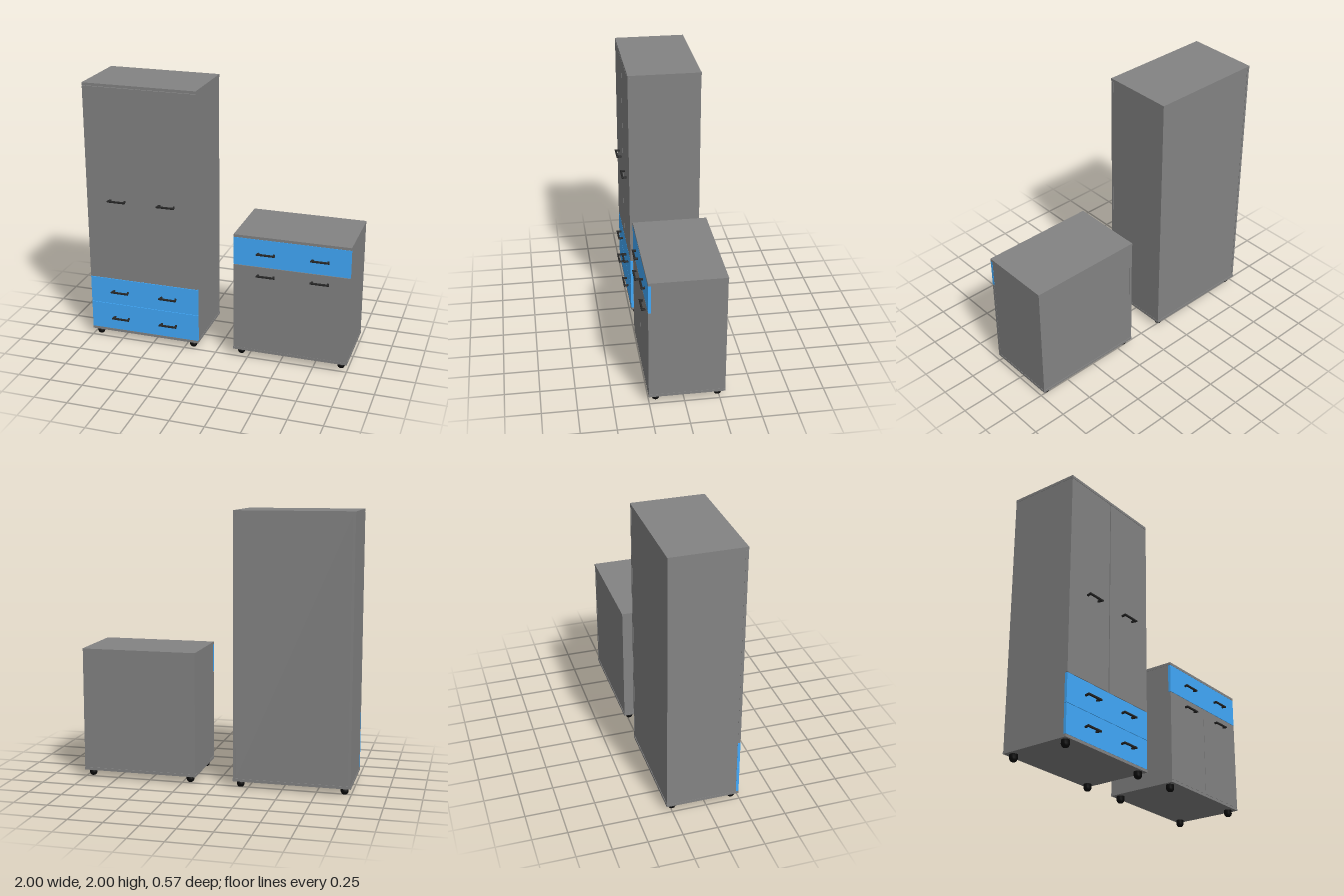
import * as THREE from 'three';

const grey = new THREE.MeshStandardMaterial({ color: 0x838383 });
const blue = new THREE.MeshStandardMaterial({ color: 0x42aafc });
const darkGrey = new THREE.MeshStandardMaterial({ color: 0x262626 });
const black = new THREE.MeshStandardMaterial({ color: 0x080808 });

const W = 0.86, T = 0.02, BACK = -0.29, HANDLE_Z = 0.242, FOOT = 0.048;

// Box given by its lower and upper bounds
function panel(parent, name, x0, x1, y0, y1, z0, z1, material = grey) {
  const mesh = new THREE.Mesh(new THREE.BoxGeometry(x1 - x0, y1 - y0, z1 - z0), material);
  mesh.position.set((x0 + x1) / 2, (y0 + y1) / 2, (z0 + z1) / 2);
  mesh.name = name;
  parent.add(mesh);
}

// Bow handle: flat outline seen from above, flared towards the grip
function handle(parent, x, y) {
  const s = new THREE.Shape([
    [-0.059, 0], [-0.067, 0.037], [0.067, 0.037], [0.059, 0],
    [0.051, 0], [0.056, 0.029], [-0.056, 0.029], [-0.051, 0],
  ].map(([a, b]) => new THREE.Vector2(a, b)));
  const geo = new THREE.ExtrudeGeometry(s, {
    depth: 0.008, bevelEnabled: true, bevelSize: 0.003, bevelThickness: 0.003, bevelSegments: 2,
  });
  geo.translate(0, 0, -0.004);
  geo.rotateX(Math.PI / 2);
  const mesh = new THREE.Mesh(geo, darkGrey);
  mesh.name = 'handle';
  mesh.position.set(x, y, HANDLE_Z);
  parent.add(mesh);
}

// Short turned feet under the four corners
function feet(parent, base) {
  const profile = [[0, 0], [0.016, 0], [0.023, 0.006], [0.029, 0.02], [0.029, FOOT], [0, FOOT]]
    .map(([r, y]) => new THREE.Vector2(r, y));
  const geo = new THREE.LatheGeometry(profile, 16);
  for (const x of [-0.38, 0.38]) for (const z of [-0.24, 0.2]) {
    const foot = new THREE.Mesh(geo, black);
    foot.name = 'foot';
    foot.position.set(x, base - FOOT, z);
    parent.add(foot);
  }
}

// Carcass shared by both cabinets
function cabinet(name, x, base, height, front) {
  const g = new THREE.Group();
  g.name = name;
  g.position.x = x;
  const h = W / 2, inner = front - 0.02;
  panel(g, 'bottomPanel', -h, h, base, base + T, BACK, front);
  panel(g, 'topPanel', -h, h, height - T, height, BACK, front);
  for (const s of [-1, 1]) {
    const a = s * (h - 0.002), b = s * (h - T);
    panel(g, 'sidePanel', Math.min(a, b), Math.max(a, b), base + T, height - T, BACK + 0.002, inner);
  }
  panel(g, 'backPanel', -h + T, h - T, base + T, height - T, BACK + 0.004, BACK + 0.014);
  feet(g, base);
  return g;
}

// Full-width drawer front with two handles
function drawer(g, y0, y1, front, handleX, handleY) {
  panel(g, 'drawerFront', -W / 2 + 0.001, W / 2 - 0.001, y0, y1, front - 0.02, front, blue);
  for (const x of handleX) handle(g, x, handleY);
}

// Pair of doors with a narrow gap between them
function doors(g, y0, y1, front, gap, handleX, handleY) {
  const h = W / 2 - 0.001;
  panel(g, 'rightDoor', -h, -gap / 2, y0, y1, front - 0.02, front);
  panel(g, 'leftDoor', gap / 2, h, y0, y1, front - 0.02, front);
  for (const x of handleX) handle(g, x, handleY);
}

export function createModel() {
  const model = new THREE.Group();
  model.name = 'bedroomCabinets';

  // Tall wardrobe with two drawers below two doors
  const wardrobe = cabinet('wardrobe', -0.57, FOOT, 2, 0.243);
  const wx = [-0.185, 0.199];
  drawer(wardrobe, 0.069, 0.279, 0.243, wx, 0.17);
  drawer(wardrobe, 0.282, 0.489, 0.243, wx, 0.39);
  doors(wardrobe, 0.492, 1.977, 0.243, 0.008, wx, 1.126);

  // Low dresser with one drawer above two doors
  const dresser = cabinet('dresser', 0.57, 0.056, 0.978, 0.253);
  const dx = [-0.185, 0.212];
  drawer(dresser, 0.747, 0.957, 0.253, dx, 0.85);
  doors(dresser, 0.077, 0.744, 0.253, 0.003, dx, 0.68);

  model.add(wardrobe, dresser);
  return model;
}
